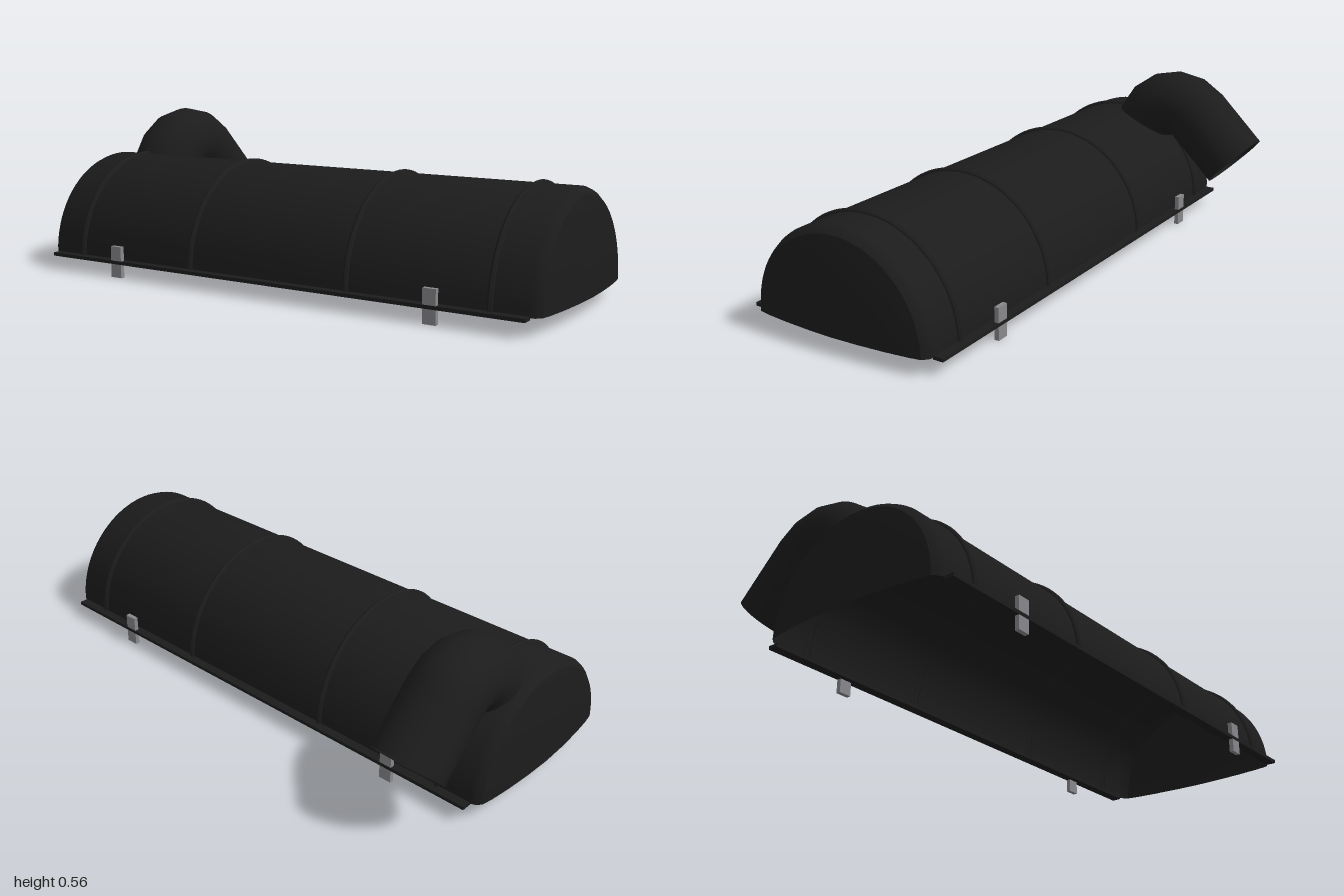
import * as THREE from 'three';
import { toCreasedNormals } from 'three/addons/utils/BufferGeometryUtils.js';

const BASE_Y = 0.055;   // height of the open underside
const AXIS_Z = 0.108;   // centre line of the half barrel
const RADIUS = 0.345;

const black = new THREE.MeshStandardMaterial({ color: 0x1c1c1c, side: THREE.DoubleSide });
const grey = new THREE.MeshStandardMaterial({ color: 0x88888c });

function addMesh(parent, name, geometry, material, x = 0, y = 0, z = 0) {
  const mesh = new THREE.Mesh(geometry, material);
  mesh.name = name;
  mesh.position.set(x, y, z);
  parent.add(mesh);
  return mesh;
}

// Upper half of a turned profile of [radius, x] points, axis along x
function halfTurn(profile) {
  const points = profile.map(([r, x]) => new THREE.Vector2(r, x));
  const geometry = new THREE.LatheGeometry(points, 40, Math.PI, Math.PI);
  geometry.rotateZ(-Math.PI / 2);
  return toCreasedNormals(geometry, 0.5);
}

export function createModel() {
  const model = new THREE.Group();
  model.name = 'halfBarrelHousing';

  // Half barrel with shallow domed ends, open underneath
  const end = [[0, 1], [0.1, 0.997], [0.2, 0.99], [0.28, 0.981], [0.322, 0.973], [0.338, 0.957], [RADIUS, 0.94]];
  const profile = [...end.map(([r, x]) => [r, -x]), ...end.slice().reverse()];
  addMesh(model, 'shell', halfTurn(profile), black, 0, BASE_Y, AXIS_Z);

  // Raised ribs around the barrel
  const rib = halfTurn([[RADIUS - 0.002, -0.011], [0.351, -0.008], [0.356, 0], [0.351, 0.008], [RADIUS - 0.002, 0.011]]);
  for (const x of [-0.815, -0.315, 0.315, 0.815]) {
    addMesh(model, 'rib', rib, black, x, BASE_Y, AXIS_Z);
  }

  // Long side flanges, each with two clips
  for (const side of [-1, 1]) {
    addMesh(model, 'flange', new THREE.BoxGeometry(1.88, 0.012, 0.036), black,
      0, BASE_Y - 0.001, AXIS_Z + side * 0.359);
    for (const x of [-0.63, 0.63]) {
      addMesh(model, 'clip', new THREE.BoxGeometry(0.046, 0.112, 0.016), grey,
        x, 0.056, AXIS_Z + side * 0.368);
    }
  }

  // Elbow pipe: a bend about a pivot, then a straight open outlet
  const pipe = new THREE.Group();
  pipe.name = 'elbowPipe';
  pipe.position.set(-0.817, 0.305, -0.145);
  pipe.rotation.y = -Math.PI / 2;   // local x becomes +z
  const start = THREE.MathUtils.degToRad(22);
  const stop = THREE.MathUtils.degToRad(134.5);
  const bend = 0.131, tube = 0.128, length = 0.238;
  addMesh(pipe, 'pipeBend', new THREE.TorusGeometry(bend, tube, 32, 5, stop - start), black)
    .rotation.z = start;
  const outlet = addMesh(pipe, 'pipeOutlet', new THREE.CylinderGeometry(tube, tube, length, 32, 1, true), black,
    bend * Math.cos(stop) - Math.sin(stop) * length / 2,
    bend * Math.sin(stop) + Math.cos(stop) * length / 2);
  outlet.rotation.z = stop;
  model.add(pipe);

  return model;
}
